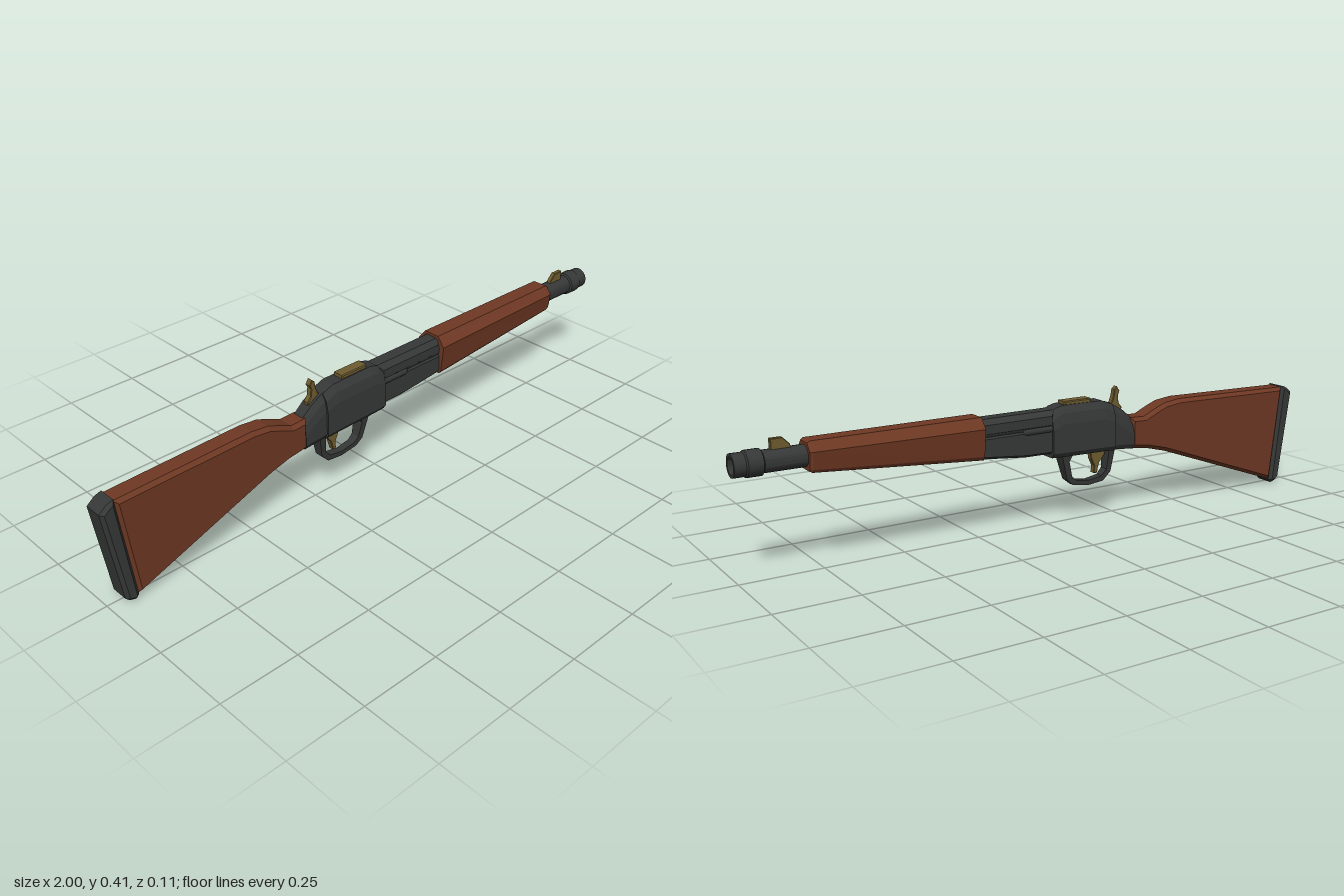
import * as THREE from 'three';
import { toCreasedNormals } from 'three/addons/utils/BufferGeometryUtils.js';

const material = (name, color) => {
  const m = new THREE.MeshStandardMaterial({ color });
  m.name = name;
  return m;
};

// Side profile in x/y, extruded to +-halfWidth with chamfered edges
function slab(points, halfWidth, chamfer = 0) {
  const shape = new THREE.Shape(points.map(([x, y]) => new THREE.Vector2(x, y)));
  const depth = 2 * (halfWidth - chamfer);
  const g = new THREE.ExtrudeGeometry(shape, {
    depth, bevelEnabled: chamfer > 0, bevelSize: chamfer, bevelThickness: chamfer,
    bevelOffset: -chamfer, bevelSegments: 1, curveSegments: 6,
  });
  return g.translate(0, 0, -depth / 2);
}

// Mirrored cross-sections along x; each half is [y, z] from top to bottom
function loft(sections) {
  const rings = sections.map(({ x, half }) => [
    ...half.map(([y, z]) => [x, y, z]),
    ...half.map(([y, z]) => [x, y, -z]).reverse(),
  ]);
  const pos = [];
  const n = rings[0].length;
  const tri = (a, b, c) => pos.push(...a, ...b, ...c);
  for (let i = 0; i < rings.length - 1; i++) {
    const r = rings[i], s = rings[i + 1];
    for (let j = 0; j < n; j++) {
      const k = (j + 1) % n;
      tri(r[j], r[k], s[k]);
      tri(r[j], s[k], s[j]);
    }
  }
  const first = rings[0], last = rings[rings.length - 1];
  for (let j = 1; j < n - 1; j++) {
    tri(first[0], first[j + 1], first[j]);
    tri(last[0], last[j], last[j + 1]);
  }
  const g = new THREE.BufferGeometry();
  g.setAttribute('position', new THREE.Float32BufferAttribute(pos, 3));
  g.computeVertexNormals();
  return g;
}

export function createModel() {
  const wood = material('wood', 0x6e3823);
  const steel = material('dark steel', 0x363737);
  const brass = material('brass', 0x6f5d30);
  const model = new THREE.Group();
  const add = (name, geometry, mat) => {
    const mesh = new THREE.Mesh(geometry, mat);
    mesh.name = name;
    model.add(mesh);
    return mesh;
  };

  // Shoulder stock and butt plate
  add('stock', slab([
    [-0.955, 0.34], [-0.915, 0.013], [-0.44, 0.182], [-0.37, 0.2], [-0.3, 0.21],
    [-0.3, 0.31], [-0.355, 0.308], [-0.4, 0.328], [-0.44, 0.343], [-0.5, 0.35],
  ], 0.037, 0.012), wood);
  add('buttPlate', slab([
    [-1, 0.318], [-0.957, 0.018], [-0.945, 0.006], [-0.925, 0], [-0.914, 0.01],
    [-0.953, 0.345], [-0.975, 0.338],
  ], 0.038, 0.01), steel);

  // Receiver: narrow rear that widens to the main block
  const half = (top, bottom, w) => [
    [top, w * 0.5], [top - 0.022, w * 0.84], [top - 0.055, w],
    [bottom + 0.015, w], [bottom, w * 0.78],
  ];
  add('receiverRear', loft([
    { x: -0.31, half: half(0.307, 0.208, 0.037) },
    { x: -0.27, half: half(0.34, 0.212, 0.038) },
    { x: -0.225, half: half(0.366, 0.216, 0.039) },
  ]), steel);
  add('receiver', loft([
    { x: -0.23, half: half(0.363, 0.214, 0.045) },
    { x: -0.19, half: half(0.378, 0.216, 0.045) },
    { x: -0.04, half: half(0.38, 0.219, 0.045) },
    { x: -0.015, half: half(0.374, 0.22, 0.045) },
    { x: 0.006, half: half(0.362, 0.221, 0.045) },
  ]), steel);

  // Hollow barrel with muzzle band
  const profile = [
    [0.036, 0], [0.036, 0.25], [0.032, 0.79], [0.032, 0.915], [0.038, 0.919],
    [0.038, 0.962], [0.034, 0.966], [0.034, 1], [0.025, 1], [0.025, 0.79],
  ].map(([r, x]) => new THREE.Vector2(r, x));
  const barrel = new THREE.LatheGeometry(profile, 20).rotateZ(-Math.PI / 2);
  add('barrel', toCreasedNormals(barrel, 0.6), steel).position.y = 0.334;
  const plug = add('boreEnd', new THREE.CircleGeometry(0.028, 20).rotateY(Math.PI / 2), wood);
  plug.position.set(0.8, 0.334, 0);

  // Body below the barrel and the rounded rods beside it
  add('lowerBody', slab([
    [-0.01, 0.234], [0.1, 0.236], [0.26, 0.252], [0.26, 0.318], [-0.01, 0.318],
  ], 0.036, 0.007), steel);
  add('upperBody', slab([
    [-0.01, 0.31], [0.26, 0.31], [0.26, 0.37], [-0.01, 0.37],
  ], 0.036, 0.016), steel);
  for (const side of [-1, 1]) {
    const rod = new THREE.CapsuleGeometry(0.011, 0.1, 4, 10).rotateZ(Math.PI / 2);
    add('sideRod', rod, steel).position.set(0.048, 0.314, side * 0.03);
  }

  // Faceted wooden fore-end
  add('foreEnd', loft([
    { x: 0.25, half: [[0.379, 0.028], [0.347, 0.054], [0.262, 0.045], [0.25, 0.037]] },
    { x: 0.785, half: [[0.379, 0.026], [0.351, 0.047], [0.3, 0.04], [0.291, 0.034]] },
    { x: 0.793, half: [[0.374, 0.024], [0.35, 0.043], [0.303, 0.037], [0.295, 0.032]] },
  ]), wood);

  // Trigger guard loop, tapering in width toward the bottom
  const guard = slab([
    [-0.04, 0.225], [-0.048, 0.195], [-0.065, 0.135], [-0.09, 0.115], [-0.15, 0.106],
    [-0.205, 0.112], [-0.232, 0.14], [-0.245, 0.222], [-0.222, 0.222], [-0.216, 0.15],
    [-0.198, 0.13], [-0.15, 0.122], [-0.1, 0.13], [-0.083, 0.145], [-0.07, 0.195],
    [-0.085, 0.225],
  ], 0.022);
  const p = guard.attributes.position;
  for (let i = 0; i < p.count; i++) {
    p.setZ(i, p.getZ(i) * THREE.MathUtils.mapLinear(p.getY(i), 0.106, 0.222, 0.5, 1));
  }
  guard.computeVertexNormals();
  add('triggerGuard', guard, steel);

  // Brass trigger, hammer and sights
  add('trigger', slab([
    [-0.222, 0.222], [-0.21, 0.195], [-0.192, 0.175], [-0.182, 0.14], [-0.17, 0.142],
    [-0.172, 0.165], [-0.16, 0.19], [-0.155, 0.222],
  ], 0.01, 0.002), brass);
  add('hammer', slab([
    [-0.275, 0.325], [-0.277, 0.345], [-0.265, 0.36], [-0.262, 0.385], [-0.268, 0.398],
    [-0.258, 0.414], [-0.248, 0.405], [-0.245, 0.385], [-0.238, 0.365], [-0.225, 0.355],
    [-0.225, 0.325],
  ], 0.01, 0.002), brass);
  add('rearSightPlate', slab([
    [-0.15, 0.37], [-0.05, 0.37], [-0.05, 0.39], [-0.15, 0.39],
  ], 0.019, 0.003), brass);
  add('frontSight', slab([
    [0.83, 0.36], [0.89, 0.36], [0.89, 0.395], [0.855, 0.395], [0.835, 0.375],
  ], 0.008, 0.002), brass);

  return model;
}
